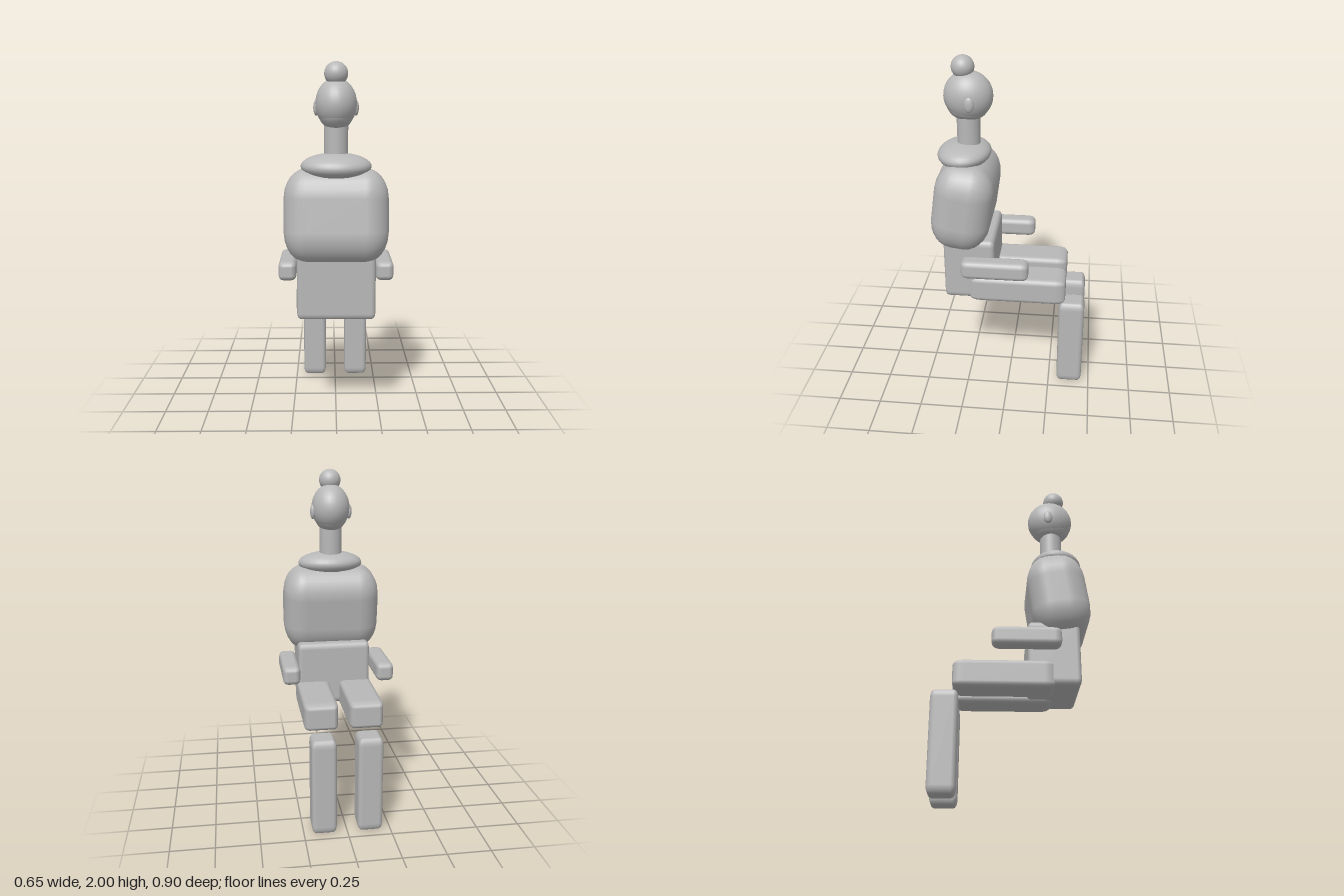
import * as THREE from 'three';
import { RoundedBoxGeometry } from 'three/addons/geometries/RoundedBoxGeometry.js';

export function createModel() {
  const model = new THREE.Group();
  const clay = new THREE.MeshStandardMaterial({ color: 0xb8b8b8 });
  clay.name = 'grey clay';

  function add(name, geometry, x, y, z, tilt = 0) {
    const mesh = new THREE.Mesh(geometry, clay);
    mesh.name = name;
    mesh.position.set(x, y, z);
    mesh.rotation.x = tilt;
    model.add(mesh);
    return mesh;
  }

  // Box with a separate corner radius along each axis
  function softBox([w, h, d], [rx, ry, rz], segments) {
    return new RoundedBoxGeometry(w / rx, h / ry, d / rz, segments, 1).scale(rx, ry, rz);
  }

  function ellipsoid(rx, ry, rz) {
    return new THREE.SphereGeometry(1, 28, 18).scale(rx, ry, rz);
  }

  // Head, facing -z
  add('hairBun', ellipsoid(0.064, 0.064, 0.064), 0, 1.936, 0.265);
  add('head', ellipsoid(0.113, 0.138, 0.138), 0, 1.777, 0.238);
  add('jaw', ellipsoid(0.098, 0.1, 0.122), 0, 1.735, 0.24);
  add('neck', new THREE.CylinderGeometry(0.066, 0.066, 0.3, 24), 0, 1.52, 0.241);

  // Trunk, leaning slightly forward
  add('collar', ellipsoid(0.194, 0.072, 0.153), 0, 1.443, 0.268, 0.05);
  add('chest', softBox([0.578, 0.52, 0.342], [0.13, 0.17, 0.135], 3), 0, 1.17, 0.265, -0.14);
  add('pelvis', softBox([0.435, 0.38, 0.297], [0.025, 0.035, 0.025], 2), 0, 0.788, 0.228);

  // Ears and limbs, mirrored
  for (const [side, s] of [['left', 1], ['right', -1]]) {
    add(side + 'Ear', ellipsoid(0.016, 0.043, 0.027), s * 0.108, 1.755, 0.22);
    add(side + 'Forearm', softBox([0.102, 0.11, 0.387], [0.03, 0.03, 0.04], 2), s * 0.276, 0.844, 0.07);
    add(side + 'Thigh', softBox([0.197, 0.16, 0.57], [0.03, 0.03, 0.06], 2), s * 0.13, 0.66, -0.052);
    add(side + 'Shin', softBox([0.143, 0.572, 0.153], [0.025, 0.045, 0.025], 2), s * 0.132, 0.287, -0.377);
  }

  return model;
}
